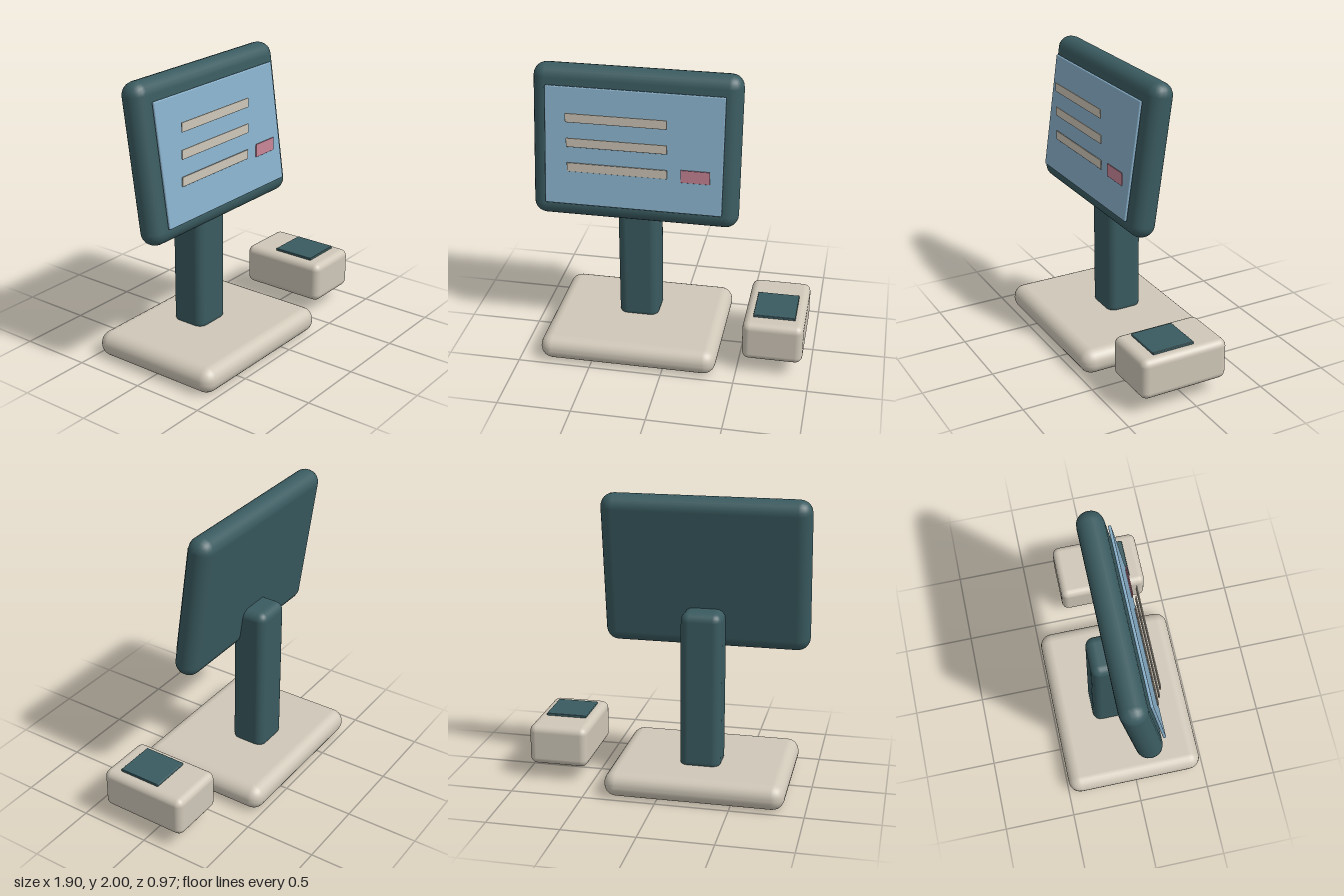
import * as THREE from 'three';
import { RoundedBoxGeometry } from 'three/addons/geometries/RoundedBoxGeometry.js';

function material(name, color) {
  const m = new THREE.MeshStandardMaterial({ color });
  m.name = name;
  return m;
}

export function createModel() {
  const model = new THREE.Group();
  model.name = 'checkoutTerminal';

  const beige = material('warm beige', 0xcfc7b8);
  const teal = material('dark teal', 0x3a5b60);
  const blue = material('screen blue', 0x88b0ca);
  const pink = material('button pink', 0xc98698);

  // Rounded block given by its size, centre and edge radius
  function block(name, mat, size, centre, radius, parent = model) {
    const mesh = new THREE.Mesh(new RoundedBoxGeometry(...size, 3, radius), mat);
    mesh.name = name;
    mesh.position.set(...centre);
    parent.add(mesh);
    return mesh;
  }

  // Stand: foot plate and upright
  const midX = -0.247;
  block('base', beige, [1.225, 0.178, 0.97], [midX, 0.089, -0.004], 0.085);
  block('stem', teal, [0.28, 1.107, 0.257], [midX, 0.694, -0.088], 0.06);

  // Leaning display: housing with a thin screen panel in front
  const tilt = -0.139;
  block('displayHousing', teal, [1.405, 1.046, 0.18], [midX, 1.485, 0], 0.088).rotation.x = tilt;
  block('screen', blue, [1.202, 0.81, 0.02], [midX, 1.488, 0.112], 0.008).rotation.x = tilt;

  // Upright interface plates standing just off the screen
  for (const y of [1.708, 1.532, 1.353]) {
    block('menuLine', beige, [0.677, 0.064, 0.008], [-0.355, y, 0.15], 0.003);
  }
  block('payButton', pink, [0.196, 0.09, 0.008], [0.172, 1.35, 0.15], 0.003);

  // Separate card reader with its touch pad
  const reader = new THREE.Group();
  reader.name = 'cardReader';
  reader.position.set(0.74, 0, 0.05);
  model.add(reader);
  block('readerBody', beige, [0.413, 0.286, 0.632], [0, 0.249, 0], 0.05, reader);
  block('readerPad', teal, [0.286, 0.02, 0.302], [0, 0.399, 0.059], 0.005, reader);

  return model;
}
